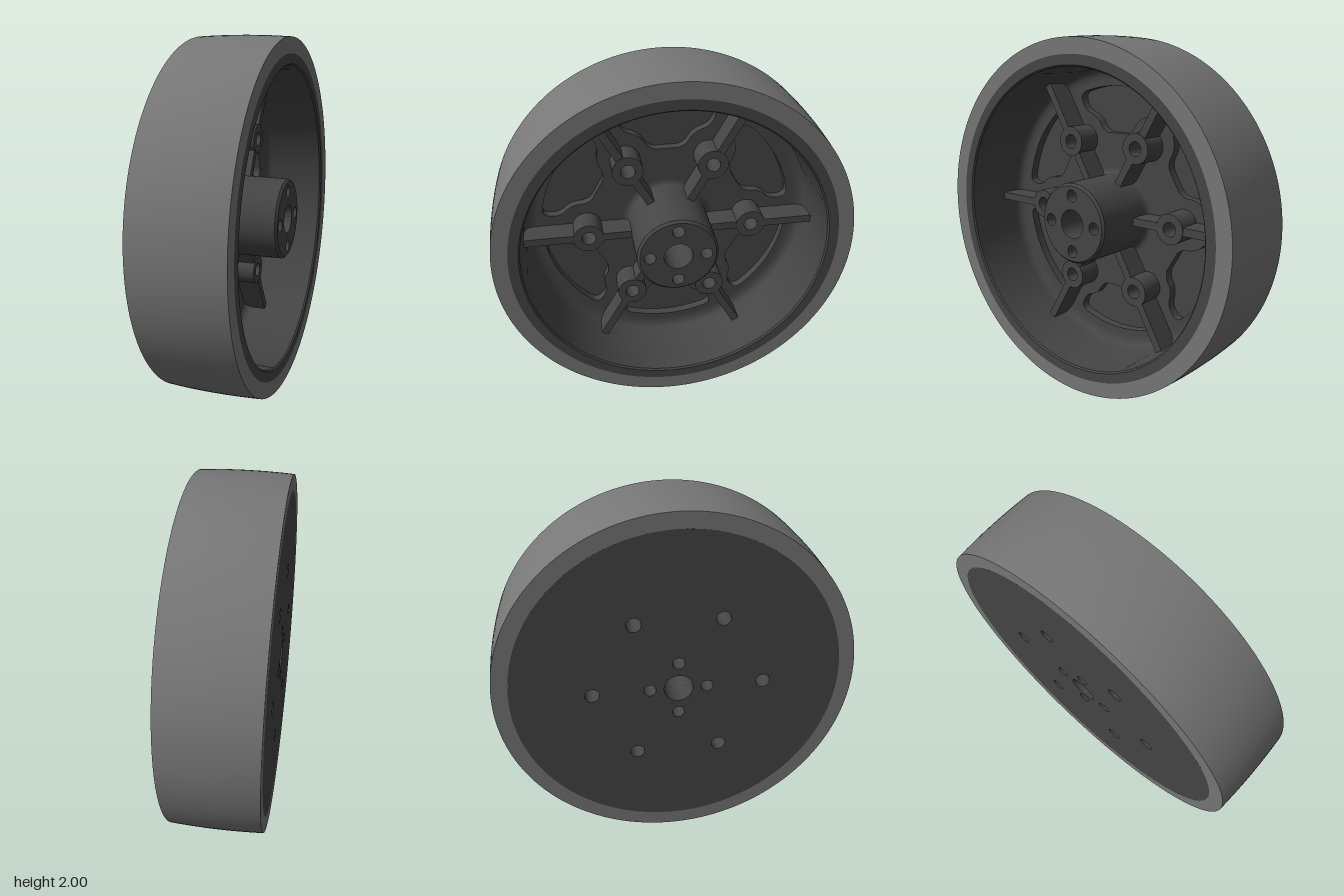
import * as THREE from 'three';
import { toCreasedNormals } from 'three/addons/utils/BufferGeometryUtils.js';

const BACK = -0.25, WEB = -0.19, FLOOR = -0.14, BOSS = 0, FACE = 0.25;
const BOSS_RADIUS = 0.47;

const tyreMaterial = new THREE.MeshStandardMaterial({ color: 0x777777 });
const hubMaterial = new THREE.MeshStandardMaterial({ color: 0x454545 });

function addMesh(group, name, geometry, material = hubMaterial) {
  const mesh = new THREE.Mesh(geometry, material);
  mesh.name = name;
  group.add(mesh);
  return mesh;
}

// Profile of [radius, x] pairs turned about the axle (x axis)
function turned(profile, segments = 128) {
  const points = profile.map(([r, x]) => new THREE.Vector2(r, x));
  const geometry = new THREE.LatheGeometry(points, segments).rotateZ(-Math.PI / 2);
  return toCreasedNormals(geometry, 0.5);
}

// Quarter-round from one corner tangent to the other
function fillet(r0, x0, r1, x1, cornerR, cornerX) {
  const curve = new THREE.QuadraticBezierCurve(
    new THREE.Vector2(r0, x0), new THREE.Vector2(cornerR, cornerX), new THREE.Vector2(r1, x1));
  return curve.getPoints(6).map(p => [p.x, p.y]);
}

function circlePath(radius, cx = 0, cy = 0) {
  return new THREE.Path().absarc(cx, cy, radius, 0, Math.PI * 2, true);
}

function disc(radius, holes, cx = 0, cy = 0) {
  const shape = new THREE.Shape().absarc(cx, cy, radius, 0, Math.PI * 2, false);
  shape.holes.push(...holes);
  return shape;
}

// Extrude a shape along the axle between two x positions
function plate(shape, from, to, curveSegments = 32) {
  const geometry = new THREE.ExtrudeGeometry(shape, { depth: to - from, bevelEnabled: false, curveSegments });
  geometry.translate(0, 0, from).rotateY(Math.PI / 2);
  return toCreasedNormals(geometry, 0.5);
}

// Rounded pocket outline between two ribs, turned to the given angle
function pocketPath(angle) {
  const path = new THREE.Path();
  path.moveTo(-0.06, 0.46);
  path.lineTo(0.06, 0.46);
  path.quadraticCurveTo(0.1, 0.465, 0.125, 0.505);
  path.quadraticCurveTo(0.15, 0.55, 0.205, 0.565);
  path.quadraticCurveTo(0.25, 0.58, 0.268, 0.635);
  path.quadraticCurveTo(0.28, 0.675, 0.23, 0.69);
  path.quadraticCurveTo(0, 0.765, -0.23, 0.69);
  path.quadraticCurveTo(-0.28, 0.675, -0.268, 0.635);
  path.quadraticCurveTo(-0.25, 0.58, -0.205, 0.565);
  path.quadraticCurveTo(-0.15, 0.55, -0.125, 0.505);
  path.quadraticCurveTo(-0.1, 0.465, -0.06, 0.46);
  const origin = new THREE.Vector2();
  const points = path.getPoints(8).slice(0, -1).map(p => p.rotateAround(origin, angle));
  return new THREE.Path(points);
}

export function createModel() {
  const model = new THREE.Group();
  model.name = 'wheel';
  const wheel = new THREE.Group();
  wheel.name = 'wheelAssembly';
  wheel.position.y = 1;
  model.add(wheel);

  // Tyre with a slightly crowned tread
  const tread = [];
  for (let i = 0; i <= 8; i++) {
    const t = i / 4 - 1;
    tread.push([1 - 0.008 * t * t, t * 0.25]);
  }
  addMesh(wheel, 'tyre', turned([[0.905, BACK], ...tread, [0.905, FACE]], 160), tyreMaterial);

  // Rim lip and drafted inner wall, rounded into the floor
  addMesh(wheel, 'rim', turned([
    [0.905, FACE], [0.85, FACE], [0.842, 0.24],
    ...fillet(0.83, FLOOR + 0.06, 0.765, FLOOR, 0.828, FLOOR),
  ], 160));

  // Hole layouts shared by the stacked plates
  const angles = Array.from({ length: 6 }, (_, i) => i * Math.PI / 3);
  const bossCentres = angles.map(a => [BOSS_RADIUS * Math.cos(a), BOSS_RADIUS * Math.sin(a)]);
  const bossHoles = () => bossCentres.map(([x, y]) => circlePath(0.04, x, y));
  const axleHoles = () => [circlePath(0.08),
    ...[[1, 0], [0, 1], [-1, 0], [0, -1]].map(([x, y]) => circlePath(0.034, x * 0.157, y * 0.157))];

  // Flat back disc and the pocketed web in front of it
  addMesh(wheel, 'backDisc', plate(disc(0.905, [...axleHoles(), ...bossHoles()]), BACK, WEB, 64));
  addMesh(wheel, 'pocketedWeb',
    plate(disc(0.775, [...axleHoles(), ...bossHoles(), ...angles.map(pocketPath)]), WEB, FLOOR, 48));

  // Central hub: drilled core in a chamfered, filleted sleeve
  addMesh(wheel, 'hubCore', plate(disc(0.212, axleHoles()), FLOOR, FACE, 32));
  addMesh(wheel, 'hubSleeve', turned([
    ...fillet(0.265, FLOOR, 0.227, FLOOR + 0.04, 0.227, FLOOR),
    [0.225, 0.237], [0.212, FACE],
  ], 64));

  // Bolt bosses, each with an inner and an outer rib
  angles.forEach((angle, i) => {
    const [x, y] = bossCentres[i];
    addMesh(wheel, 'boltBoss', plate(disc(0.085, [circlePath(0.04, x, y)], x, y), FLOOR, BOSS, 24));
    for (const [name, r0, r1] of [['innerRib', 0.215, 0.4], ['outerRib', 0.54, 0.835]]) {
      const top = BOSS - 0.004;
      const geometry = new THREE.BoxGeometry(top - FLOOR, 0.045, r1 - r0);
      geometry.translate((top + FLOOR) / 2, 0, (r0 + r1) / 2).rotateX(angle);
      addMesh(wheel, name, geometry);
    }
  });

  return model;
}
